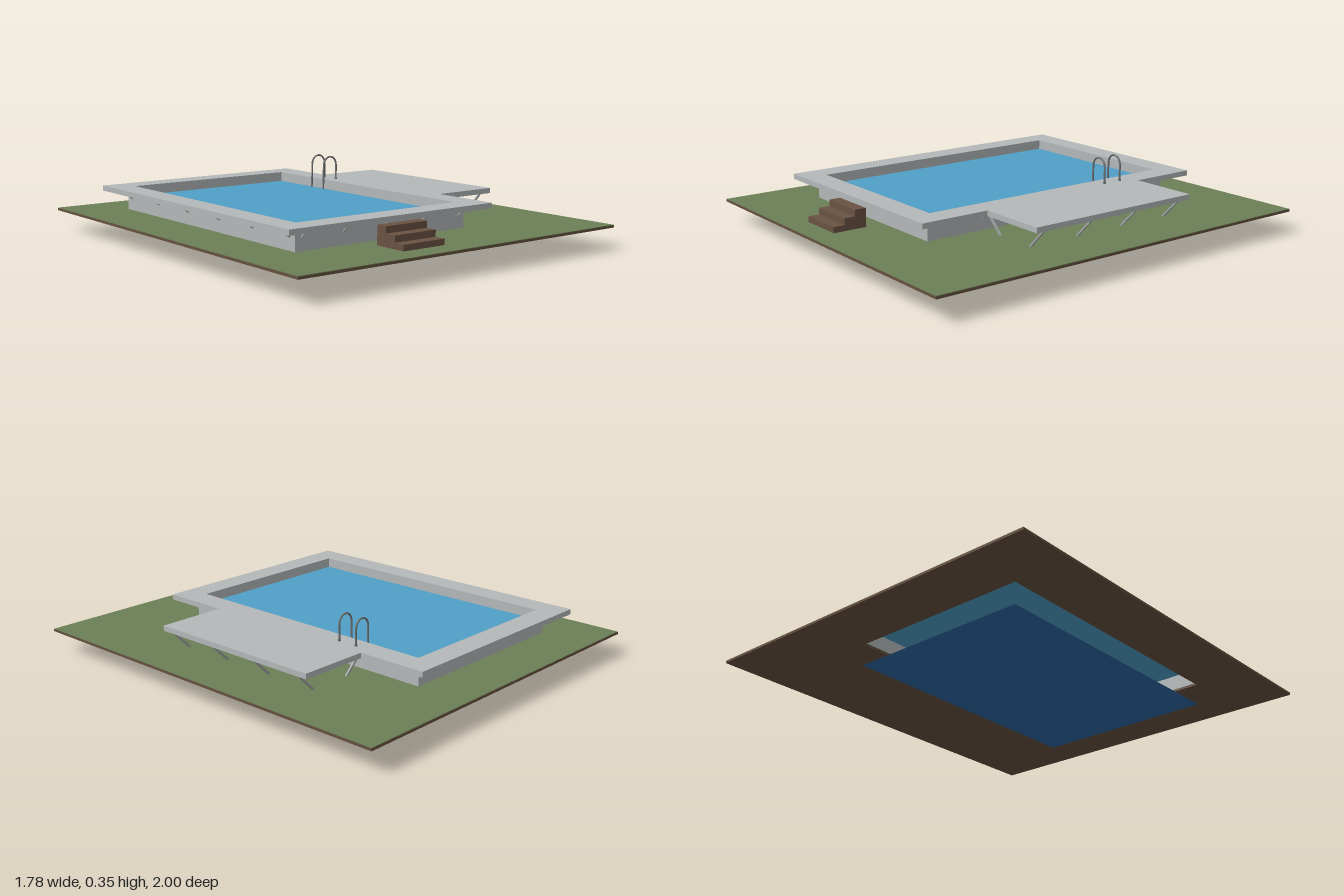
import * as THREE from 'three';

const mat = (name, color) => Object.assign(new THREE.MeshStandardMaterial({ color }), { name });

// Rectangle corners in the ground plane (x, z)
const rect = (x0, x1, z0, z1) => [[x0, z0], [x1, z0], [x1, z1], [x0, z1]].map(([x, z]) => new THREE.Vector2(x, z));

export function createModel() {
  const grass = mat('grass green', 0x6b7f56);
  const soil = mat('earth brown', 0x65503f);
  const wood = mat('step brown', 0x6a5242);
  const concrete = mat('concrete grey', 0xb4b8b8);
  const steel = mat('strut grey', 0xa0a4a4);
  const rail = mat('rail grey', 0x707374);
  const water = mat('water blue', 0x4f9fc6);
  const floor = mat('pool floor blue', 0x2c68a3);
  water.side = floor.side = THREE.DoubleSide;

  const model = new THREE.Group();
  const add = (name, geometry, material, parent = model) => {
    const mesh = new THREE.Mesh(geometry, material);
    mesh.name = name;
    parent.add(mesh);
    return mesh;
  };
  const group = (name) => {
    const g = new THREE.Group();
    g.name = name;
    model.add(g);
    return g;
  };

  // Pool opening shared by ground, wall and deck
  const pool = { x0: -0.61, x1: 0.27, z0: -0.72, z1: 0.605 };
  const opening = rect(pool.x0, pool.x1, pool.z0, pool.z1);

  // Flat slab with the pool opening cut out
  const slab = (name, outline, y0, y1, material) => {
    const shape = new THREE.Shape(outline);
    shape.holes.push(new THREE.Path(opening));
    const g = new THREE.ExtrudeGeometry(shape, { depth: y1 - y0, bevelEnabled: false });
    g.rotateX(Math.PI / 2).translate(0, y1, 0);
    return add(name, g, material);
  };

  slab('earthSlab', rect(-0.89, 0.89, -1, 1), 0.1, 0.111, soil);
  slab('lawn', rect(-0.888, 0.888, -0.998, 0.998), 0.111, 0.113, grass);
  slab('poolWall', rect(-0.635, 0.297, -0.745, 0.635), 0.111, 0.202, concrete);
  slab('deck', [
    [-0.725, -0.835], [0.387, -0.835], [0.387, -0.503], [0.72, -0.503],
    [0.72, 0.385], [0.387, 0.385], [0.387, 0.72], [-0.725, 0.72],
  ].map(([x, z]) => new THREE.Vector2(x, z)), 0.202, 0.227, concrete);

  // Water surface and pool bottom
  const sheet = (name, y, material) => {
    const g = new THREE.PlaneGeometry(pool.x1 - pool.x0, pool.z1 - pool.z0).rotateX(-Math.PI / 2);
    g.translate((pool.x0 + pool.x1) / 2, y, (pool.z0 + pool.z1) / 2);
    add(name, g, material);
  };
  sheet('water', 0.18, water);
  sheet('poolFloor', 0, floor);

  // Square bar between two points
  const bar = (name, a, b, size, material, parent) => {
    const from = new THREE.Vector3(...a), to = new THREE.Vector3(...b);
    const mesh = add(name, new THREE.BoxGeometry(size, size, from.distanceTo(to)), material, parent);
    mesh.position.copy(from).add(to).multiplyScalar(0.5);
    mesh.lookAt(to);
  };

  // Short diagonal struts under the deck overhang
  const struts = group('deckStruts');
  for (const x of [-0.602, -0.387, -0.17, 0.046, 0.262]) {
    bar('frontStrut', [x, 0.17, 0.633], [x, 0.204, 0.678], 0.007, steel, struts);
    bar('backStrut', [x, 0.17, -0.743], [x, 0.204, -0.788], 0.007, steel, struts);
  }
  for (let i = 0; i < 6; i++) {
    const z = 0.598 - i * 0.26;
    bar('rightStrut', [-0.633, 0.17, z], [-0.678, 0.204, z], 0.007, steel, struts);
    bar('leftStrut', [0.295, 0.17, z], [0.34, 0.204, z], 0.007, steel, struts);
  }

  // Slanted legs below the side platform
  const legs = group('platformLegs');
  for (const z of [0.335, 0.075, -0.182, -0.443]) {
    bar('innerLeg', [0.32, 0.204, z], [0.413, 0.111, z], 0.009, steel, legs);
    bar('outerLeg', [0.707, 0.204, z], [0.614, 0.111, z], 0.009, steel, legs);
  }

  // Steps up to the deck
  const steps = group('steps');
  for (let i = 0; i < 3; i++) {
    const h = 0.088 - i * 0.03;
    add('step', new THREE.BoxGeometry(0.225, h, 0.055), wood, steps)
      .position.set(-0.168, 0.112 + h / 2, 0.75 + i * 0.0545);
  }

  // Pool ladder: two arched rails joined by rungs
  const ladder = group('ladder');
  const arch = [];
  for (let i = 0; i <= 8; i++) {
    const a = (i / 8) * Math.PI;
    arch.push([0.298 + 0.039 * Math.cos(a), 0.303 + 0.04 * Math.sin(a)]);
  }
  const path = [[0.337, 0.225], [0.337, 0.265], ...arch, [0.257, 0.23], [0.254, 0.15], [0.253, 0.08], [0.257, 0.04], [0.268, 0.025]];
  for (const z of [-0.335, -0.431]) {
    const curve = new THREE.CatmullRomCurve3(path.map(([x, y]) => new THREE.Vector3(x, y, z)));
    add('ladderRail', new THREE.TubeGeometry(curve, 48, 0.0045, 8), rail, ladder);
    add('railFoot', new THREE.CylinderGeometry(0.007, 0.007, 0.006, 12), rail, ladder).position.set(0.337, 0.23, z);
  }
  for (const y of [0.08, 0.15]) {
    bar('rung', [0.254, y, -0.335], [0.254, y, -0.431], 0.007, rail, ladder);
  }

  return model;
}
